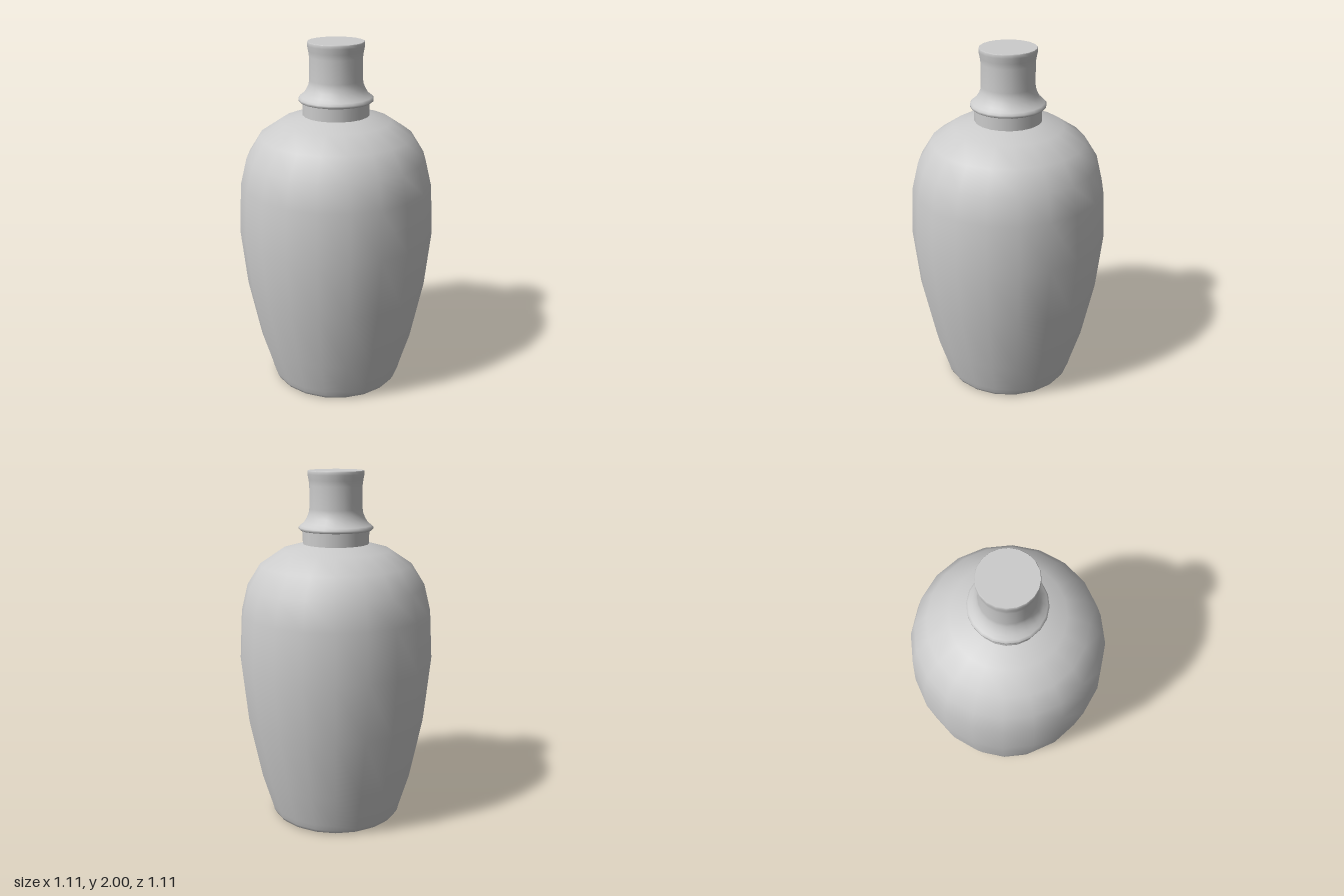
import * as THREE from 'three';

const SIDES = 20;

export function createModel() {
  const group = new THREE.Group();
  const material = new THREE.MeshStandardMaterial({ color: 0xcccccc });

  // Each turned part is its own smooth surface, so the joints stay crisp.
  function turn(name, profile) {
    const points = profile.map(([r, y]) => new THREE.Vector2(r, y));
    const mesh = new THREE.Mesh(new THREE.LatheGeometry(points, SIDES), material);
    mesh.name = name;
    group.add(mesh);
  }

  // Flat underside
  turn('base', [[0, 0], [0.355, 0]]);

  // Tapering belly, rounded at the foot and shoulder
  turn('body', [
    [0.355, 0], [0.372, 0.01], [0.383, 0.03], [0.39, 0.06],
    [0.45, 0.26], [0.52, 0.61], [0.553, 0.94], [0.537, 1.22],
    [0.5, 1.37], [0.425, 1.49], [0.305, 1.57], [0.185, 1.603],
  ]);

  // Straight collar between shoulder and stopper
  turn('collar', [[0.185, 1.6], [0.185, 1.68]]);

  // Stopper: flat rim underside, flared skirt, slim neck, flat top
  turn('stopperUnderside', [[0.185, 1.678], [0.2, 1.678]]);
  turn('stopper', [
    [0.2, 1.678], [0.207, 1.684], [0.207, 1.694], [0.198, 1.705],
    [0.177, 1.72], [0.161, 1.746], [0.151, 1.77], [0.147, 1.795],
    [0.146, 1.92], [0.15, 1.95], [0.156, 1.98], [0.156, 1.995], [0.153, 2],
  ]);
  turn('stopperTop', [[0.153, 2], [0, 2]]);

  return group;
}
